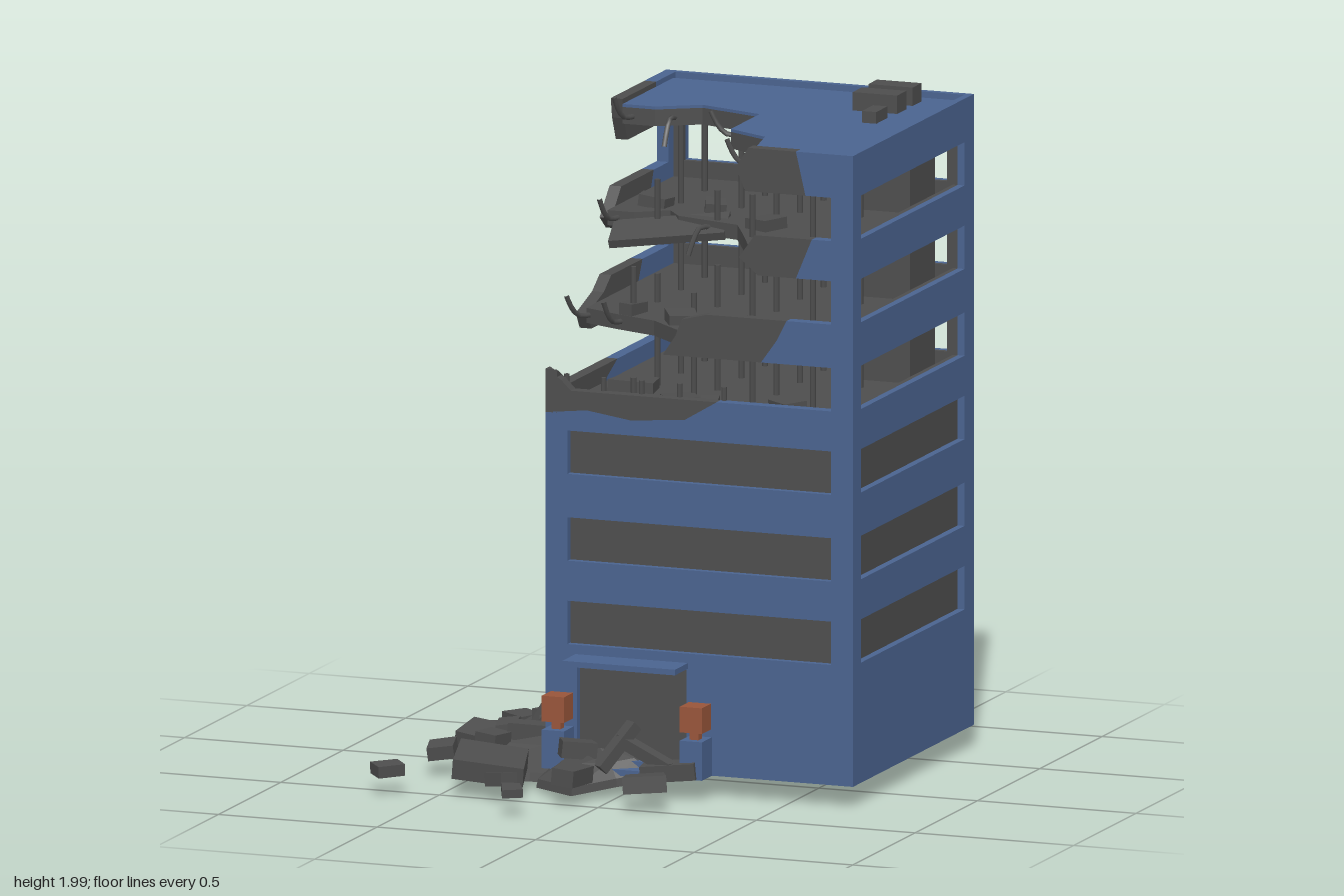
import * as THREE from 'three';

const paint = (name, color) => Object.assign(new THREE.MeshStandardMaterial({ color }), { name });

export function createModel() {
  const root = new THREE.Group();
  root.name = 'ruinedTower';
  const blue = paint('blueWall', 0x4a638f);
  const grey = paint('greyConcrete', 0x4d4d4d);
  const orange = paint('orangeLamp', 0x98553a);

  let seed = 7;
  const rand = () => (seed = (seed * 16807) % 2147483647) / 2147483647;

  const add = (name, geo, mat, parent = root) => {
    const m = new THREE.Mesh(geo, mat);
    m.name = name;
    parent.add(m);
    return m;
  };
  const group = (name) => {
    const g = new THREE.Group();
    g.name = name;
    root.add(g);
    return g;
  };
  // Box given by its limits on each axis
  const box = (name, mat, x0, x1, y0, y1, z0, z1, parent) => {
    const m = add(name, new THREE.BoxGeometry(x1 - x0, y1 - y0, z1 - z0), mat, parent);
    m.position.set((x0 + x1) / 2, (y0 + y1) / 2, (z0 + z1) / 2);
    return m;
  };
  const toShape = (pts) => new THREE.Shape(pts.map(([x, y]) => new THREE.Vector2(x, y)));
  const rect = (a, b, c, d) => [[a, c], [b, c], [b, d], [a, d]];

  // Outer limits, wall thickness, window rows
  const L = -0.27, R = 0.70, F = 0.235, B = -0.735, T = 0.037, Y0 = 0.07, Y1 = 1.96;
  const lowRows = [[0.43, 0.56], [0.68, 0.81], [0.94, 1.07]];
  const openRows = [[1.19, 1.32], [1.45, 1.58], [1.70, 1.83]];

  // Wall: outline in (along, up) coordinates; side walls run along z
  const wall = (name, mat, outline, holes, depth, side, at) => {
    const s = toShape(outline);
    holes.forEach((h) => s.holes.push(toShape(h)));
    const geo = new THREE.ExtrudeGeometry(s, { depth, bevelEnabled: false });
    if (side) geo.rotateY(-Math.PI / 2);
    const m = add(name, geo, mat);
    m.position[side ? 'x' : 'z'] = at;
  };
  const xSpan = [-0.2, 0.63], zSpan = [-0.66, 0.17];
  const windows = (span, rows) => rows.map(([a, b]) => rect(span[0], span[1], a, b));
  const allRows = [...lowRows, ...openRows];

  // Intact back and right walls with grey inner lining on the upper floors
  wall('backWall', blue, rect(L, R, Y0, Y1), windows(xSpan, allRows), 0.022, false, B);
  wall('backLining', grey, rect(L + T, R - T, 1.1, 1.93), windows(xSpan, openRows), 0.015, false, B + 0.022);
  wall('rightWall', blue, rect(B, F, Y0, Y1), windows(zSpan, allRows), 0.022, true, R);
  wall('rightLining', grey, rect(B + T, F - T, 1.1, 1.93), windows(zSpan, openRows), 0.015, true, R - 0.022);

  // Broken front wall: sound blue part, then scorched remnants
  const door = rect(-0.17, 0.175, 0.075, 0.38);
  wall('frontWall', blue, [[L, Y0], [R, Y0], [R, Y1], [0.52, Y1], [0.55, 1.83], [0.63, 1.83], [0.63, 1.7],
    [0.57, 1.7], [0.52, 1.58], [0.63, 1.58], [0.63, 1.45], [0.49, 1.45], [0.46, 1.39], [0.41, 1.32], [0.63, 1.32],
    [0.63, 1.19], [0.27, 1.19], [0.17, 1.13], [0, 1.115], [-0.14, 1.135], [L, 1.12]],
  [...windows(xSpan, lowRows), door], T, false, F - T);
  [
    [[0.52, Y1], [0.55, 1.83], [0.36, 1.83], [0.33, 1.9], [0.37, Y1]],
    [[0.57, 1.7], [0.52, 1.58], [0.4, 1.58], [0.34, 1.63], [0.39, 1.7]],
    [[0.49, 1.45], [0.46, 1.39], [0.41, 1.32], [0.1, 1.32], [0.14, 1.38], [0.16, 1.43], [0.24, 1.45]],
    [[0.27, 1.19], [0.17, 1.13], [0, 1.115], [-0.14, 1.135], [L, 1.12], [L, 1.25], [-0.22, 1.22], [-0.19, 1.19]],
  ].forEach((p) => wall('scorchedFrontWall', grey, p, [], T, false, F - T));

  // Broken left wall
  wall('leftWall', blue, [[F, Y0], [B, Y0], [B, Y1], [-0.56, Y1], [-0.55, 1.83], [-0.66, 1.83], [-0.66, 1.7],
    [-0.54, 1.7], [-0.49, 1.58], [-0.66, 1.58], [-0.66, 1.45], [-0.45, 1.45], [-0.38, 1.32], [-0.66, 1.32],
    [-0.66, 1.19], [-0.25, 1.19], [-0.12, 1.13], [0.05, 1.11], [F, 1.12]], windows(zSpan, lowRows), T, true, L + T);
  [
    [[-0.56, Y1], [-0.55, 1.83], [-0.33, 1.83], [-0.3, 1.9], [-0.29, Y1]],
    [[-0.54, 1.7], [-0.49, 1.58], [-0.25, 1.58], [-0.2, 1.62], [-0.28, 1.7]],
    [[-0.45, 1.45], [-0.38, 1.32], [-0.04, 1.32], [-0.01, 1.37], [-0.14, 1.41], [-0.2, 1.45]],
    [[-0.25, 1.19], [-0.12, 1.13], [0.05, 1.11], [F, 1.12], [F, 1.25], [0.18, 1.22], [0.16, 1.19]],
  ].forEach((p) => wall('scorchedLeftWall', grey, p, [], T, true, L + T));

  // Recessed panes of the lower storeys
  const panes = group('windowPanes');
  for (const [a, b] of lowRows) {
    for (const z of [F - 0.03, B + 0.022]) box('pane', grey, ...xSpan, a, b, z, z + 0.008, panes);
    for (const x of [L + 0.022, R - 0.03]) box('pane', grey, x, x + 0.008, a, b, ...zSpan, panes);
  }

  // Floor slabs: a torn edge from the left wall to the front, closed along the walls
  const slab = (name, mat, edge, top, depth) => {
    const s = toShape([...edge, [R - T, F - T], [R - T, B + T], [L + T, B + T]]);
    const geo = new THREE.ExtrudeGeometry(s, { depth, bevelEnabled: false });
    geo.rotateX(Math.PI / 2);
    add(name, geo, mat).position.y = top;
  };
  const roofEdge = [[L + T, -0.29], [-0.13, -0.29], [-0.01, -0.365], [0.195, -0.3], [0.195, -0.07], [0.33, 0], [0.37, F - T]];
  slab('roofSurface', blue, roofEdge, 1.945, 0.009);
  slab('roofSlab', grey, roofEdge, 1.936, 0.05);
  slab('upperFloor', grey, [[L + T, -0.17], [-0.15, -0.17], [-0.06, -0.235], [-0.01, -0.17], [0.2, -0.11], [0.27, 0.02], [0.36, F - T]], 1.65, 0.045);
  slab('middleFloor', grey, [[L + T, 0], [-0.12, 0.05], [0.02, 0.1], [0.13, F - T]], 1.39, 0.045);
  slab('lowerFloor', grey, [[L + T, F - T]], 1.14, 0.04);
  const hanging = box('hangingSlab', grey, -0.2, 0.15, 1.6, 1.625, -0.2, -0.08);
  hanging.rotation.set(0.35, 0.2, 0.05);

  // Lift core and slim columns, snapped where the floor above is gone
  box('liftCore', grey, 0.41, 0.61, 1.13, 1.9, -0.65, -0.45);
  const columns = group('columns');
  const storeys = [
    [1.13, 1.36, (x, z) => x > 0 || z < 0.03],
    [1.38, 1.62, (x, z) => x > 0.25 || z < -0.2],
    [1.64, 1.9, (x, z) => x > 0.4 || z < -0.33 || (x > 0.25 && z < 0)],
  ];
  for (const [y0, y1, whole] of storeys) {
    for (const x of [-0.07, 0.12, 0.305, 0.495]) for (const z of [0.035, -0.155, -0.345, -0.535]) {
      if (y0 > 1.6 && z > -0.1 && x < 0.25) continue;
      const h = whole(x, z) ? y1 - y0 : 0.07 + 0.09 * rand();
      add('column', new THREE.CylinderGeometry(0.009, 0.009, h, 6), grey, columns).position.set(x, y0 + h / 2, z);
    }
  }
  for (const [x, z] of [[-0.22, 0.19], [-0.1, 0.2], [0.02, 0.2], [0.14, 0.2], [0.28, 0.2]]) {
    add('brokenColumn', new THREE.CylinderGeometry(0.008, 0.009, 0.1, 6), grey, columns).position.set(x, 1.18, z);
  }

  // Bent reinforcing bars at the torn edges: start point, direction
  const bars = group('bentBars');
  [[-0.2, 1.91, -0.29, -0.3, 1], [-0.08, 1.91, -0.32, 0, 1], [0.195, 1.91, -0.15, -1, 0.3], [-0.2, 1.63, -0.17, -0.3, 1],
    [0.1, 1.63, -0.14, -0.4, 1], [-0.22, 1.37, 0, -0.5, 1], [-0.1, 1.37, 0.05, -0.3, 1], [-0.25, 1.23, 0.2, -0.1, 0.2],
    [0.37, 1.9, 0.19, -1, 0]].forEach(([x, y, z, dx, dz], i) => {
    const up = i % 3 === 1 ? -0.03 : 0.03;
    const path = new THREE.CatmullRomCurve3([[0, 0], [0.04, 0.004], [0.065, up], [0.085, up * 2.4]]
      .map(([d, h]) => new THREE.Vector3(x + dx * d, y + h, z + dz * d)));
    add('bentBar', new THREE.TubeGeometry(path, 6, 0.008, 5), grey, bars);
  });

  // Roof units
  box('roofUnit', grey, 0.43, 0.57, 1.94, 2, -0.645, -0.575);
  box('roofUnit', grey, 0.43, 0.57, 1.94, 2, -0.525, -0.45);
  box('roofVent', grey, 0.52, 0.565, 1.94, 1.98, -0.385, -0.295);

  // Entrance: recessed door, canopy, steps and lamp posts
  box('door', grey, -0.17, 0.175, 0.075, 0.38, F - 0.032, F - 0.022);
  box('canopy', blue, -0.175, 0.18, 0.385, 0.402, F, 0.34);
  box('lowerStep', blue, -0.18, 0.185, 0.07, 0.088, F, 0.335);
  box('upperStep', blue, -0.18, 0.185, 0.088, 0.106, F, 0.285);
  for (const x of [-0.215, 0.22]) {
    box('pedestal', blue, x - 0.035, x + 0.035, 0.07, 0.185, F, 0.315);
    box('lampNeck', orange, x - 0.014, x + 0.014, 0.185, 0.21, 0.262, 0.29);
    box('lamp', orange, x - 0.035, x + 0.035, 0.21, 0.287, 0.242, 0.315);
  }

  // Rubble mounds: scaled rings of an outline, rising to a peak
  const mound = (outline, cx, cz, height) => {
    const rings = [[0.001, 0], [1, 0], [0.97, 0.25], [0.62, 0.72], [0.3, 0.9], [0.001, 1]].map(([s, h]) =>
      outline.map(([x, z]) => {
        const px = cx + (x - cx) * s, pz = cz + (z - cz) * s;
        const base = Math.max(0.005, 0.035 + 0.07 * (px + 0.35) - 0.06 * pz);
        return [px, base + h * height * (h > 0.5 && h < 1 ? 0.8 + 0.4 * rand() : 1), pz];
      }));
    const pos = [], n = outline.length;
    for (let k = 0; k < rings.length - 1; k++) for (let i = 0; i < n; i++) {
      const a = rings[k][i], b = rings[k][(i + 1) % n], c = rings[k + 1][i], d = rings[k + 1][(i + 1) % n];
      pos.push(...b, ...a, ...c, ...b, ...c, ...d);
    }
    const geo = new THREE.BufferGeometry();
    geo.setAttribute('position', new THREE.Float32BufferAttribute(pos, 3));
    geo.computeVertexNormals();
    add('rubbleMound', geo, grey);
  };
  mound([[-0.37, -0.44], [-0.25, -0.4], [-0.24, 0.3], [-0.3, 0.29], [-0.54, 0.26], [-0.57, 0.12], [-0.51, 0],
    [-0.58, -0.13], [-0.57, -0.28], [-0.5, -0.36]], -0.32, -0.05, 0.1);
  mound([[-0.27, 0.22], [0.06, 0.22], [0.09, 0.27], [0, 0.35], [-0.1, 0.46], [-0.25, 0.36]], -0.08, 0.28, 0.1);

  // Broken chunks: irregular prisms x, y, z, width, depth, thickness, turn
  const rubble = group('rubble');
  const chunk = (x, y, z, w, d, h, turn, tilt = 0.12) => {
    const pts = [[-1, -1], [1, -1], [1, 1], [-1, 1]].map(([a, b]) =>
      [a * w / 2 * (0.8 + 0.35 * rand()), b * d / 2 * (0.8 + 0.35 * rand())]);
    const geo = new THREE.ExtrudeGeometry(toShape(pts), { depth: h, bevelEnabled: false });
    geo.translate(0, 0, -h / 2).rotateX(Math.PI / 2);
    const m = add('chunk', geo, grey, rubble);
    m.position.set(x, y, z);
    m.rotation.set((rand() - 0.5) * 2 * tilt, turn, (rand() - 0.5) * 2 * tilt);
  };
  [[-0.37, 0.09, 0.405, 0.22, 0.21, 0.06, 0.2], [-0.43, 0.09, -0.43, 0.14, 0.08, 0.04, -0.25], [-0.545, 0.08, -0.285, 0.09, 0.08, 0.04, -0.6],
    [-0.555, 0.08, -0.12, 0.06, 0.08, 0.04, 0.5], [-0.56, 0.085, 0.02, 0.12, 0.14, 0.05, -0.15], [-0.605, 0.08, 0.2, 0.08, 0.09, 0.04, 0.3],
    [-0.645, 0.08, 0.53, 0.09, 0.08, 0.035, 0.7], [-0.305, 0.07, 0.51, 0.08, 0.06, 0.04, -0.4], [-0.09, 0.09, 0.47, 0.08, 0.12, 0.05, -0.1],
    [0.14, 0.085, 0.48, 0.13, 0.09, 0.05, 0.3], [-0.2, 0.08, 0.69, 0.055, 0.08, 0.025, 0.5], [-0.33, 0.13, -0.14, 0.16, 0.17, 0.06, -0.2],
    [-0.46, 0.12, 0.04, 0.06, 0.1, 0.05, 0.3], [-0.46, 0.11, 0.16, 0.07, 0.08, 0.05, -0.3], [-0.38, 0.13, 0.09, 0.12, 0.06, 0.05, 0.4],
    [-0.32, 0.14, 0.0, 0.1, 0.05, 0.05, 0.1], [0.15, 0.09, 0.31, 0.15, 0.07, 0.05, 0.1], [-0.13, 0.14, 0.33, 0.12, 0.1, 0.05, 0.6],
  ].forEach((c) => chunk(...c));
  // Debris on the exposed floors
  [[-0.11, 1.155, -0.08, 0.13, 0.1], [0.1, 1.155, 0.1, 0.11, 0.1], [-0.08, 1.405, 0.02, 0.08, 0.06], [0.1, 1.405, 0.1, 0.1, 0.09],
    [0.25, 1.405, 0.08, 0.08, 0.07], [0.07, 1.665, -0.27, 0.06, 0.07], [0.3, 1.665, -0.1, 0.1, 0.08], [0.2, 1.155, 0.12, 0.09, 0.06],
    [0.42, 1.155, 0.05, 0.1, 0.08], [-0.13, 1.665, -0.28, 0.1, 0.06]]
    .forEach(([x, y, z, w, d], i) => chunk(x, y, z, w, d, 0.035, i * 0.7));

  // Fallen beams leaning on the heap: two ends
  [[-0.4, 0.13, -0.04, -0.28, 0.34, -0.05], [-0.37, 0.11, 0.04, -0.28, 0.27, 0], [-0.05, 0.09, 0.36, 0.02, 0.21, 0.26],
    [-0.02, 0.17, 0.28, 0.16, 0.1, 0.32]].forEach(([x0, y0, z0, x1, y1, z1]) => {
    const a = new THREE.Vector3(x0, y0, z0), b = new THREE.Vector3(x1, y1, z1);
    const beam = add('fallenBeam', new THREE.BoxGeometry(0.04, 0.035, a.distanceTo(b)), grey, rubble);
    beam.position.copy(a).lerp(b, 0.5);
    beam.lookAt(b);
  });

  return root;
}
